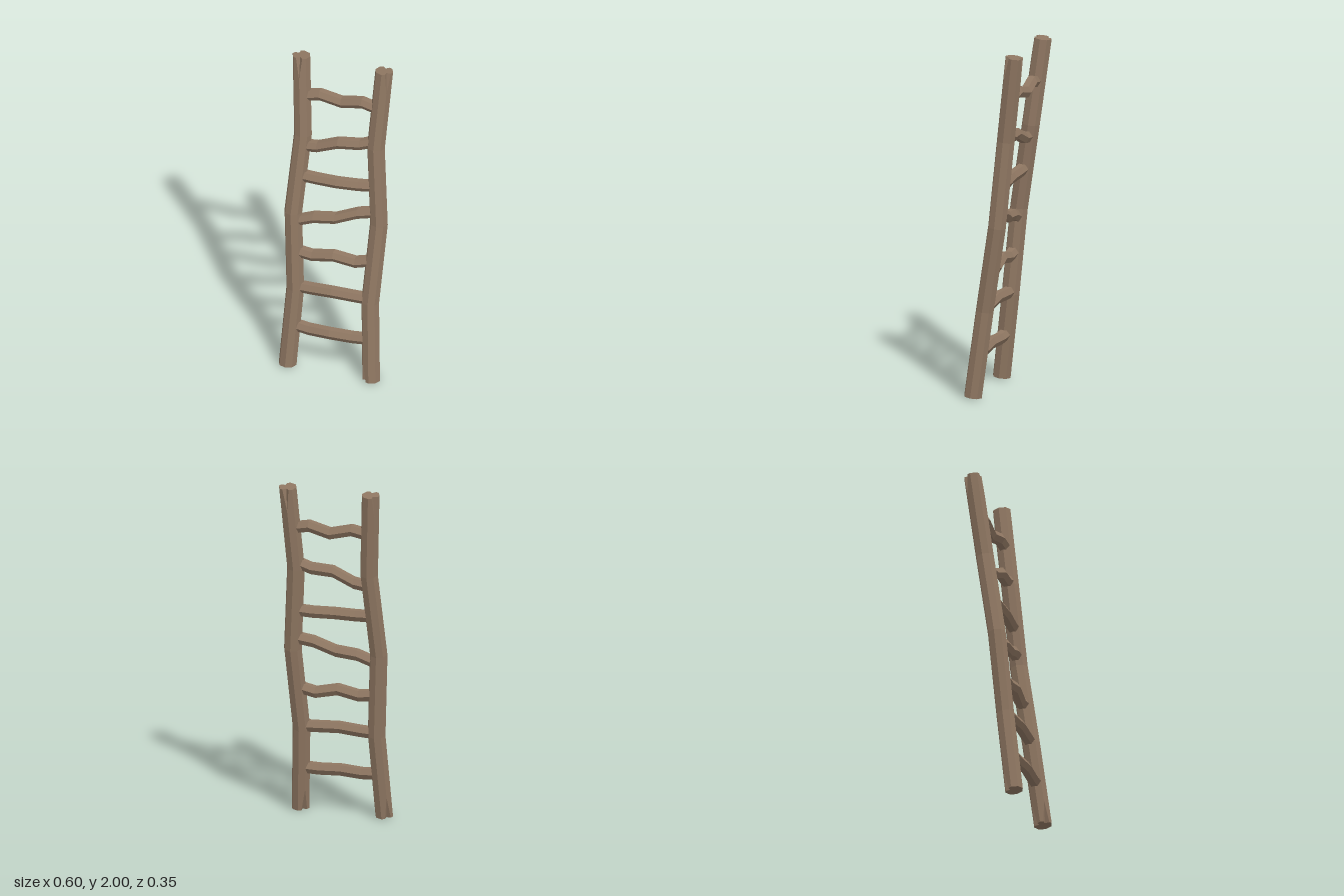
import * as THREE from 'three';

const wood = new THREE.MeshStandardMaterial({ color: 0x8f7762, flatShading: true });
const LEAN = 0.123, POLE_R = 0.052, RUNG_R = 0.036, CRACK = 0.13;

// Skin a list of rings and close both ends; points flagged "notch" get their quad split as a V crack
function loft(rings, startCentre, endCentre) {
  const pos = [], n = rings[0].length;
  const tri = (...pts) => pts.forEach((p) => pos.push(p.x, p.y, p.z));
  for (let k = 0; k < n; k++) {
    const m = (k + 1) % n;
    for (let i = 0; i < rings.length - 1; i++) {
      const a = rings[i][k], b = rings[i][m], c = rings[i + 1][m], d = rings[i + 1][k];
      if (a.notch || c.notch) { tri(a, d, b); tri(d, c, b); }
      else { tri(a, d, c); tri(a, c, b); }
    }
    const last = rings[rings.length - 1];
    tri(startCentre, rings[0][k], rings[0][m]);
    tri(endCentre, last[m], last[k]);
  }
  const geo = new THREE.BufferGeometry();
  geo.setAttribute('position', new THREE.Float32BufferAttribute(pos, 3));
  geo.computeVertexNormals();
  return geo;
}

// Bent centre line of a pole; side is +1 (left) or -1 (right)
function poleCentre(side, y) {
  const xs = [0.247, 0.222, 0.247, 0.216, 0.245];
  const sway = [0, 0, -0.02 * side, 0, 0];
  const i = Math.min(3, Math.floor(y * 2)), t = y * 2 - i;
  const mix = (list) => THREE.MathUtils.lerp(list[i], list[i + 1], t);
  return new THREE.Vector3(side * mix(xs), 0.006 + y * 0.994, LEAN * (1 - y) + mix(sway));
}

// Octagonal pole; cracks list the corner numbers split at each end (0 = +x, 2 = +z)
function makePole(side, bottomCracks, topCracks) {
  const heights = [0, CRACK, 0.5, 1, 1.5, 2 - CRACK, 2];
  const rings = heights.map((y) => {
    const c = poleCentre(side, y);
    const cracks = y === 0 ? bottomCracks : y === 2 ? topCracks : [];
    return Array.from({ length: 16 }, (_, k) => {
      const notch = k % 2 === 0 && cracks.includes(k / 2);
      const r = POLE_R * (notch ? 0.5 : k % 2 ? Math.cos(Math.PI / 8) : 1);
      const a = (k / 8) * Math.PI, dz = r * Math.sin(a);
      const p = new THREE.Vector3(c.x + r * Math.cos(a), c.y + 0.12 * dz, c.z + dz);
      p.notch = notch;
      return p;
    });
  });
  return loft(rings, poleCentre(side, 0), poleCentre(side, 2));
}

// Crooked six-sided rung through five heights, bowed in z at the middle
function makeRung(ys, bow) {
  const xs = [-0.205, -0.125, 0, 0.125, 0.205];
  const zRight = poleCentre(-1, ys[0]).z, zLeft = poleCentre(1, ys[4]).z;
  const centres = xs.map((x, i) => new THREE.Vector3(x, ys[i],
    THREE.MathUtils.lerp(zRight, zLeft, (x + 0.205) / 0.41) + bow * (1 - Math.abs(x) / 0.205)));
  const rings = centres.map((c) => Array.from({ length: 6 }, (_, k) => {
    const a = (k / 3) * Math.PI;
    return new THREE.Vector3(c.x, c.y + RUNG_R * Math.sin(a), c.z + RUNG_R * Math.cos(a));
  }));
  return loft(rings, centres[0], centres[4]);
}

export function createModel() {
  const ladder = new THREE.Group();
  ladder.name = 'ladder';
  const add = (name, geo) => {
    const mesh = new THREE.Mesh(geo, wood);
    mesh.name = name;
    ladder.add(mesh);
  };

  // Side poles
  add('leftPole', makePole(1, [3, 5], [1, 6]));
  add('rightPole', makePole(-1, [5], [2, 5]));

  // Rungs from bottom to top: heights along x, then bow
  const rungs = [
    [[0.262, 0.255, 0.26, 0.256, 0.26], 0.014],
    [[0.515, 0.517, 0.525, 0.52, 0.518], 0.01],
    [[0.745, 0.735, 0.76, 0.735, 0.755], 0.01],
    [[0.955, 0.985, 1.0, 1.05, 1.065], 0.008],
    [[1.235, 1.232, 1.232, 1.232, 1.238], 0.012],
    [[1.425, 1.435, 1.49, 1.5, 1.53], 0.012],
    [[1.748, 1.765, 1.735, 1.765, 1.748], -0.012],
  ];
  rungs.forEach(([ys, bow], i) => add(`rung${i + 1}`, makeRung(ys, bow)));
  return ladder;
}
